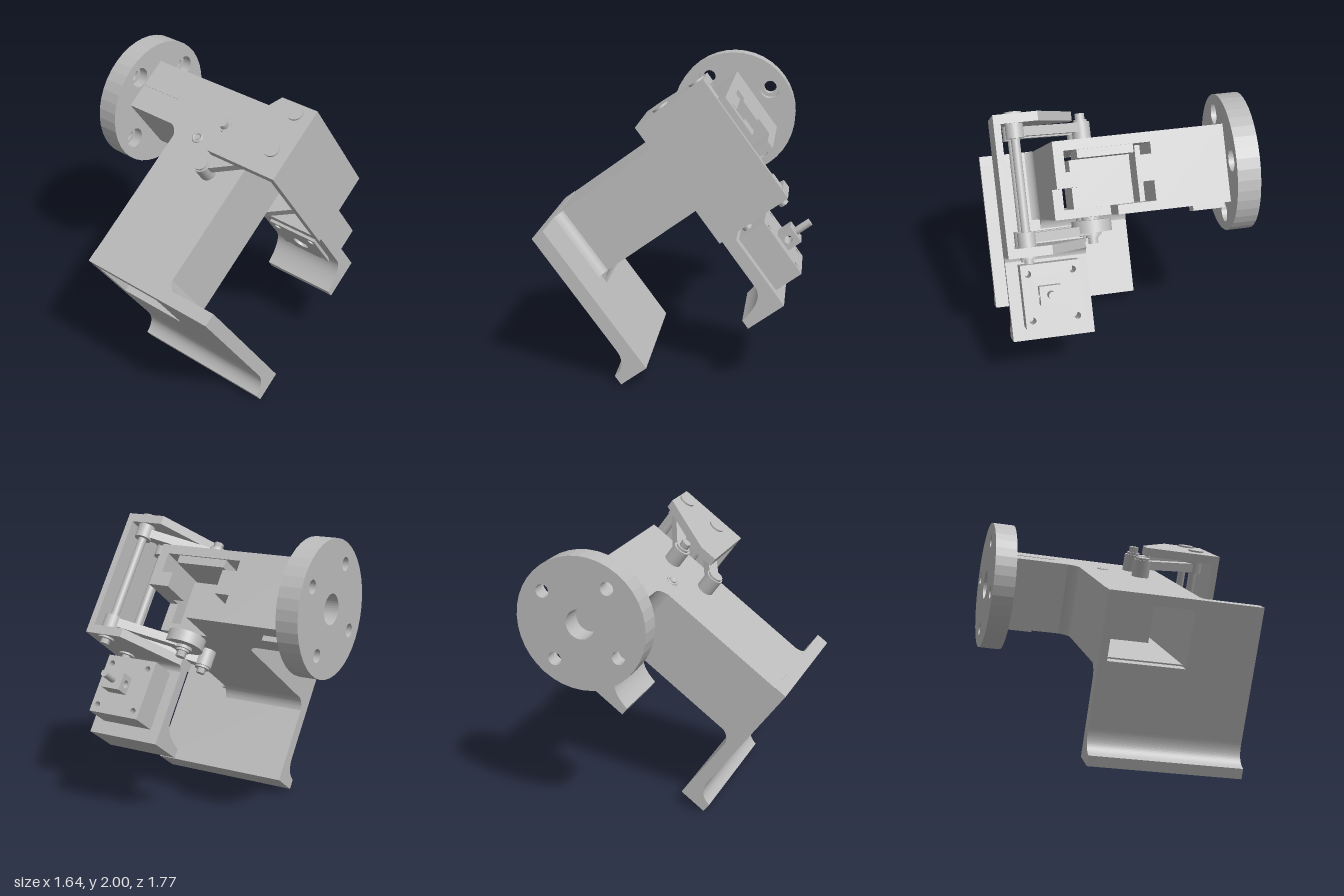
import * as THREE from 'three';

const grey = new THREE.MeshStandardMaterial({ color: 0xbcbcbc });
grey.name = 'machined grey';
const V = (x, y, z) => new THREE.Vector3(x, y, z);

export function createModel() {
  const model = new THREE.Group();
  const tool = new THREE.Group(); // built square, then tilted nose down
  tool.name = 'gripper';
  tool.rotation.x = THREE.MathUtils.degToRad(36);
  model.add(tool);

  const add = (name, geo) => {
    const m = new THREE.Mesh(geo, grey);
    m.name = name;
    tool.add(m);
    return m;
  };
  const box = (name, x0, x1, y0, y1, z0, z1) =>
    add(name, new THREE.BoxGeometry(x1 - x0, y1 - y0, z1 - z0)
      .translate((x0 + x1) / 2, (y0 + y1) / 2, (z0 + z1) / 2));
  const cylY = (name, x, z, r, y0, y1, sides = 28) =>
    add(name, new THREE.CylinderGeometry(r, r, y1 - y0, sides).translate(x, (y0 + y1) / 2, z));
  const extrude = (shape, depth) =>
    new THREE.ExtrudeGeometry(shape, { depth, bevelEnabled: false, curveSegments: 20 });
  // shape drawn in (z, y), running from x0 to x1
  const alongX = (name, shape, x0, x1) =>
    add(name, extrude(shape, x1 - x0).applyMatrix4(
      new THREE.Matrix4().makeBasis(V(0, 0, 1), V(0, 1, 0), V(-1, 0, 0)).setPosition(x1, 0, 0)));
  // shape drawn in (x, z), running from y0 to y1
  const alongY = (name, shape, y0, y1) =>
    add(name, extrude(shape, y1 - y0).applyMatrix4(
      new THREE.Matrix4().makeBasis(V(1, 0, 0), V(0, 0, 1), V(0, -1, 0)).setPosition(0, y1, 0)));
  const poly = (pts) => new THREE.Shape(pts.map((p) => new THREE.Vector2(...p)));
  const circle = (x, y, r) => new THREE.Path().absarc(x, y, r, 0, Math.PI * 2, true);
  // concave corner filler with its corner at (x, y), growing toward (sx, sy)
  const fillet = (x, y, sx, sy, r) => {
    const s = new THREE.Shape();
    s.moveTo(x, y);
    s.lineTo(x + sx * r, y);
    s.quadraticCurveTo(x + sx * r * 0.25, y + sy * r * 0.25, x, y + sy * r);
    s.closePath();
    return s;
  };

  // Flange disc: plain outer face, counterbored inner face
  for (const [x0, x1, r] of [[-0.82, -0.74, 0.045], [-0.74, -0.67, 0.07]]) {
    const disc = new THREE.Shape().absarc(-1.13, 1.06, 0.447, 0, Math.PI * 2);
    disc.holes.push(circle(-1.13, 1.06, 0.1));
    for (let i = 0; i < 4; i++) {
      const a = i * Math.PI / 2;
      disc.holes.push(circle(-1.13 + 0.32 * Math.cos(a), 1.06 + 0.32 * Math.sin(a), r));
    }
    alongX('flange', disc, x0, x1);
  }

  // Side arm and hollow main body
  box('sideArm', -0.67, -0.19, 0.8, 1.3, -1.33, -0.945);
  box('armRib', -0.66, -0.45, 0.765, 0.8, -1.2, -1.08);
  box('armGroove', -0.66, -0.35, 1.3, 1.303, -1.135, -1.12);
  alongY('armFillet', fillet(-0.21, -0.945, -1, 1, 0.07), 0.8, 1.3);
  box('bodyRoof', -0.21, 0.43, 1.235, 1.3, -1.33, 0.055);
  alongY('bodyFloor', poly([[-0.21, -1.33], [0.06, -1.33], [0.06, -1.03], [0.43, -1.03],
    [0.43, 0.055], [-0.21, 0.055]]), 0.8, 0.86);
  box('bodyWall', -0.21, -0.155, 0.86, 1.235, -0.945, 0.055);
  alongX('bodyWall', poly([[-1.33, 1], [-1.03, 1], [-1.03, 0.86], [0.055, 0.86],
    [0.055, 1.235], [-1.33, 1.235]]), 0.365, 0.43);
  box('innerBlock', -0.19, -0.085, 0.99, 1.16, -1.33, -1.1);
  box('innerStrip', -0.08, 0.28, 1.18, 1.235, -1.32, -1.0);
  box('innerMotor', -0.1, 0.3, 0.86, 1.18, -1.02, -0.62);
  box('wallBlock', 0.28, 0.365, 1.0, 1.1, -1.33, -1.1);

  // Screw set in the roof
  add('screwRing', new THREE.TorusGeometry(0.032, 0.009, 8, 28).rotateX(Math.PI / 2).translate(-0.03, 1.3, -0.93));
  cylY('screwHead', -0.03, -0.93, 0.018, 1.29, 1.308, 6);

  // Fixed jaw: hooked lower part and a window frame above
  const jawProfile = (back, front, tip, y0, y1, lip) => {
    const s = new THREE.Shape();
    s.moveTo(back, y0);
    s.lineTo(tip, y0);
    s.lineTo(tip, y0 + lip);
    s.bezierCurveTo(tip - 0.06, y0 + lip + 0.01, front, y0 + lip + 0.04, front, y0 + lip + 0.14);
    s.lineTo(front, y1);
    s.lineTo(back, y1);
    s.closePath();
    return s;
  };
  alongX('fixedJaw', jawProfile(0.053, 0.142, 0.257, 0.19, 0.85, 0.07), -0.21, 0.82);
  box('fixedJawTop', -0.21, 0.82, 1.234, 1.303, 0.053, 0.142);
  box('fixedJawSide', -0.21, -0.155, 0.85, 1.234, 0.053, 0.142);
  box('fixedJawSide', 0.365, 0.82, 0.85, 1.234, 0.053, 0.142);
  alongX('jawFillet', fillet(0.053, 0.8, -1, -1, 0.07), -0.21, 0.43);
  alongY('jawFillet', fillet(0.43, 0.053, 1, -1, 0.06), 0.8, 1.3);

  // Moving carriage: side wall plus matching cheek plates
  const cheek = [[0.5, -1.34], [0.78, -1.34], [0.78, -0.82], [0.24, -0.82], [0.24, -0.946]];
  box('carriageWall', 0.735, 0.78, 0.66, 1.44, -1.34, -0.82);
  alongY('topCheek', poly(cheek), 1.44, 1.5);
  alongY('bottomCheek', poly(cheek), 0.6, 0.66);

  // Parallel links, mirrored above and below the body
  const pivots = [[-1.04, -1.277], [-0.745, -0.998]];
  const mid = 1.05;
  for (const side of [1, -1]) {
    const span = (a, b) => (side > 0 ? [a, b] : [2 * mid - b, 2 * mid - a]);
    for (const [zBody, zFar] of pivots) {
      const dx = 0.45, dz = zFar - zBody, len = Math.hypot(dx, dz);
      const nx = -dz / len * 0.037, nz = dx / len * 0.037;
      alongY('link', poly([[0.2 - nx, zBody - nz], [0.65 - nx, zFar - nz],
        [0.65 + nx, zFar + nz], [0.2 + nx, zBody + nz]]), ...span(1.355, 1.415));
      cylY('linkBoss', 0.2, zBody, 0.06, ...span(1.3, 1.42));
      cylY('linkEnd', 0.65, zFar, 0.057, ...span(1.345, 1.44));
      cylY('rivet', 0.65, zFar, 0.055, ...span(1.5, 1.512));
    }
    cylY('pivotWasher', 0.2, pivots[0][0], 0.045, ...span(1.42, 1.435));
    cylY('pivotBolt', 0.2, pivots[0][0], 0.034, ...span(1.435, 1.475), 6);
    cylY('pivotCap', 0.2, pivots[1][0], 0.05, ...span(1.42, 1.435));
  }
  for (const [, z] of pivots) {
    cylY('linkRod', 0.65, z, 0.028, 0.7, 1.4);
    cylY('lowerBolt', 0.65, z, 0.032, 0.555, 0.6, 6);
  }
  cylY('lowerBolt', 0.2, pivots[1][0], 0.03, 0.63, 0.68, 6);
  cylY('driveHorn', 0.2, pivots[0][0], 0.13, 0.7, 0.78, 36);

  // Moving jaw below the carriage
  alongX('movingJaw', jawProfile(-0.92, -0.84, -0.642, 0.038, 0.62, 0.065), 0.24, 0.78);
  alongX('movingJawFillet', fillet(-0.92, 0.6, -1, -1, 0.04), 0.24, 0.78);
  const pad = poly([[0.315, 0.13], [0.7, 0.13], [0.7, 0.52], [0.315, 0.52]]);
  for (const x of [0.365, 0.655]) for (const y of [0.18, 0.47]) pad.holes.push(circle(x, y, 0.025));
  pad.holes.push(circle(0.51, 0.325, 0.06));
  add('jawPad', extrude(pad, 0.02).translate(0, 0, -0.84));

  // Sensor block on the back of the moving jaw
  const block = poly([[0.315, 0.13], [0.7, 0.13], [0.7, 0.54], [0.315, 0.54]]);
  for (const x of [0.365, 0.655]) for (const y of [0.18, 0.48]) block.holes.push(circle(x, y, 0.022));
  add('sensorBlock', extrude(block, 0.195).translate(0, 0, -1.115));
  const lug = poly([[-1.215, 0.28], [-1.11, 0.28], [-1.11, 0.4], [-1.215, 0.4]]);
  lug.holes.push(circle(-1.156, 0.34, 0.026));
  alongX('sensorLug', lug, 0.46, 0.6);
  add('sensorPin', new THREE.CylinderGeometry(0.025, 0.025, 0.12, 24).rotateX(Math.PI / 2)
    .translate(0.53, 0.343, -1.265));

  return model;
}
